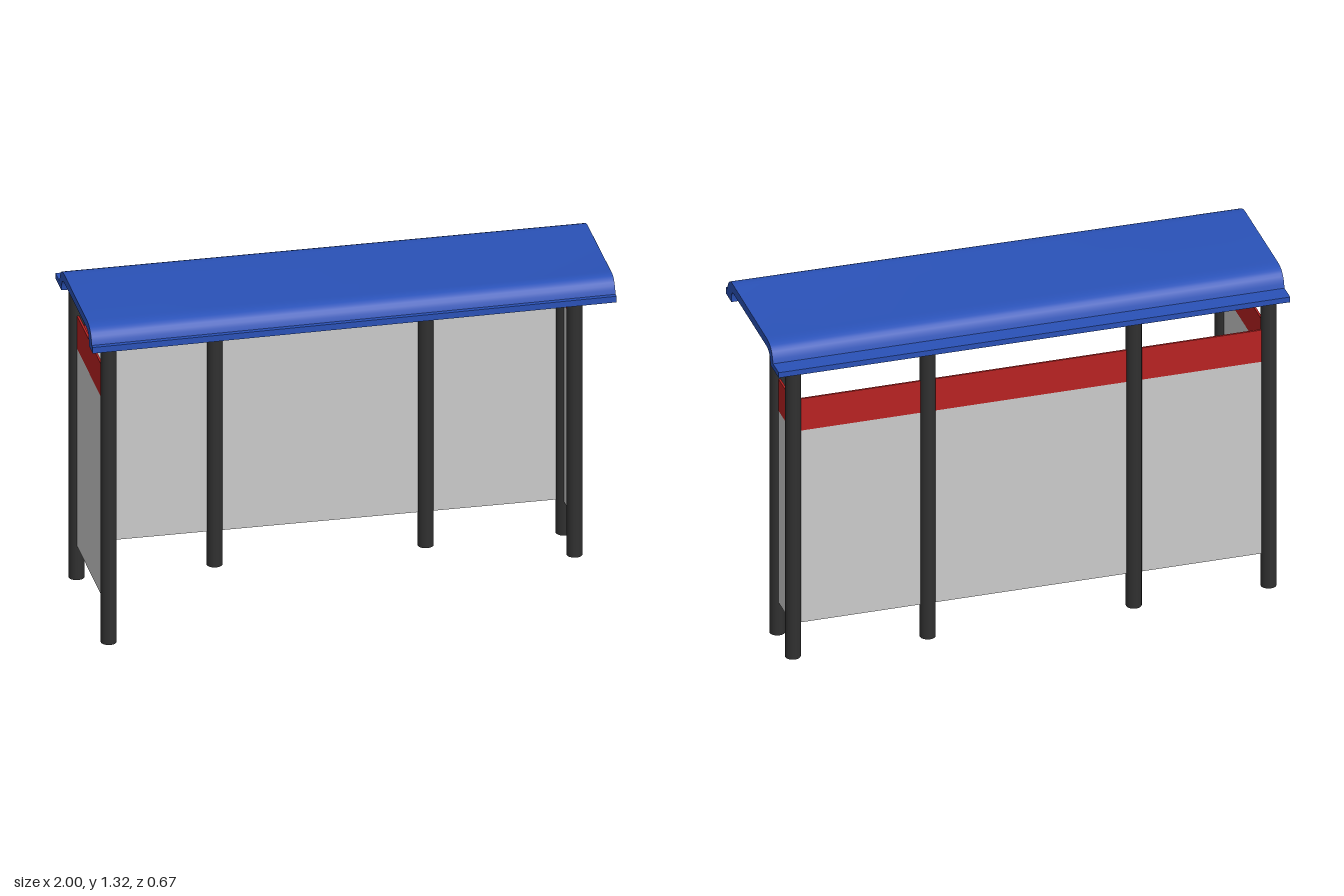
import * as THREE from 'three';
import { toCreasedNormals } from 'three/addons/utils/BufferGeometryUtils.js';

const material = (color) => new THREE.MeshStandardMaterial({ color });

export function createModel() {
  const model = new THREE.Group();
  const dark = material(0x303030);
  const blue = material(0x2a52b8);
  const red = material(0xb82222);
  const grey = material(0xcccccc);

  const add = (name, geometry, mat) => {
    const mesh = new THREE.Mesh(geometry, mat);
    mesh.name = name;
    model.add(mesh);
    return mesh;
  };

  // Posts: four along the back, one far forward on the right, one short return on the left
  const sideX = 0.93, backZ = -0.287, radius = 0.03;
  const posts = [
    ['backPost', -sideX, backZ, 1.222], ['backPost', -0.403, backZ, 1.222],
    ['backPost', 0.403, backZ, 1.222], ['backPost', sideX, backZ, 1.222],
    ['rightFrontPost', -sideX, 0.29, 1.225], ['leftFrontPost', sideX, -0.091, 1.228],
  ];
  for (const [name, x, z, h] of posts) {
    add(name, new THREE.CylinderGeometry(radius, radius, h, 24), dark).position.set(x, h / 2, z);
  }

  // Walls: a grey pane with a red band on top, running between two points
  const wall = (name, x0, z0, x1, z1) => {
    const length = Math.hypot(x1 - x0, z1 - z0);
    for (const [part, y0, y1, mat] of [['Pane', 0.14, 0.957, grey], ['Band', 0.957, 1.092, red]]) {
      const panel = add(name + part, new THREE.BoxGeometry(length, y1 - y0, 0.008), mat);
      panel.position.set((x0 + x1) / 2, (y0 + y1) / 2, (z0 + z1) / 2);
      panel.rotation.y = -Math.atan2(z1 - z0, x1 - x0);
    }
  };
  wall('backWall', -sideX, backZ, sideX, backZ);
  wall('rightWall', -sideX, backZ, -sideX, 0.29);
  wall('leftWall', sideX, backZ, sideX, -0.091);

  // Roof: curved sheet with a flange on each long edge, drawn with x = -z
  const s = new THREE.Shape();
  s.moveTo(-0.333, 1.218);
  s.lineTo(-0.262, 1.218);
  s.lineTo(-0.262, 1.243);
  s.bezierCurveTo(-0.258, 1.262, -0.245, 1.273, -0.22, 1.273);
  s.lineTo(0.18, 1.273);
  s.bezierCurveTo(0.215, 1.27, 0.226, 1.255, 0.23, 1.218);
  s.lineTo(0.335, 1.218);
  s.lineTo(0.335, 1.24);
  s.lineTo(0.263, 1.24);
  s.bezierCurveTo(0.252, 1.285, 0.235, 1.307, 0.17, 1.307);
  s.lineTo(-0.22, 1.307);
  s.bezierCurveTo(-0.275, 1.307, -0.305, 1.29, -0.315, 1.243);
  s.lineTo(-0.333, 1.243);
  s.closePath();
  const roof = new THREE.ExtrudeGeometry(s, { depth: 2, steps: 8, bevelEnabled: false, curveSegments: 8 });
  roof.translate(0, 0, -1).rotateY(Math.PI / 2);

  // The front edge lifts a little towards the left end
  const p = roof.attributes.position;
  for (let i = 0; i < p.count; i++) {
    const front = THREE.MathUtils.clamp((p.getZ(i) - 0.2) / 0.07, 0, 1);
    p.setY(i, p.getY(i) + (0.003 + 0.011 * front) * (p.getX(i) + 1) / 2);
  }
  add('roof', toCreasedNormals(roof, 0.6), blue);

  return model;
}
